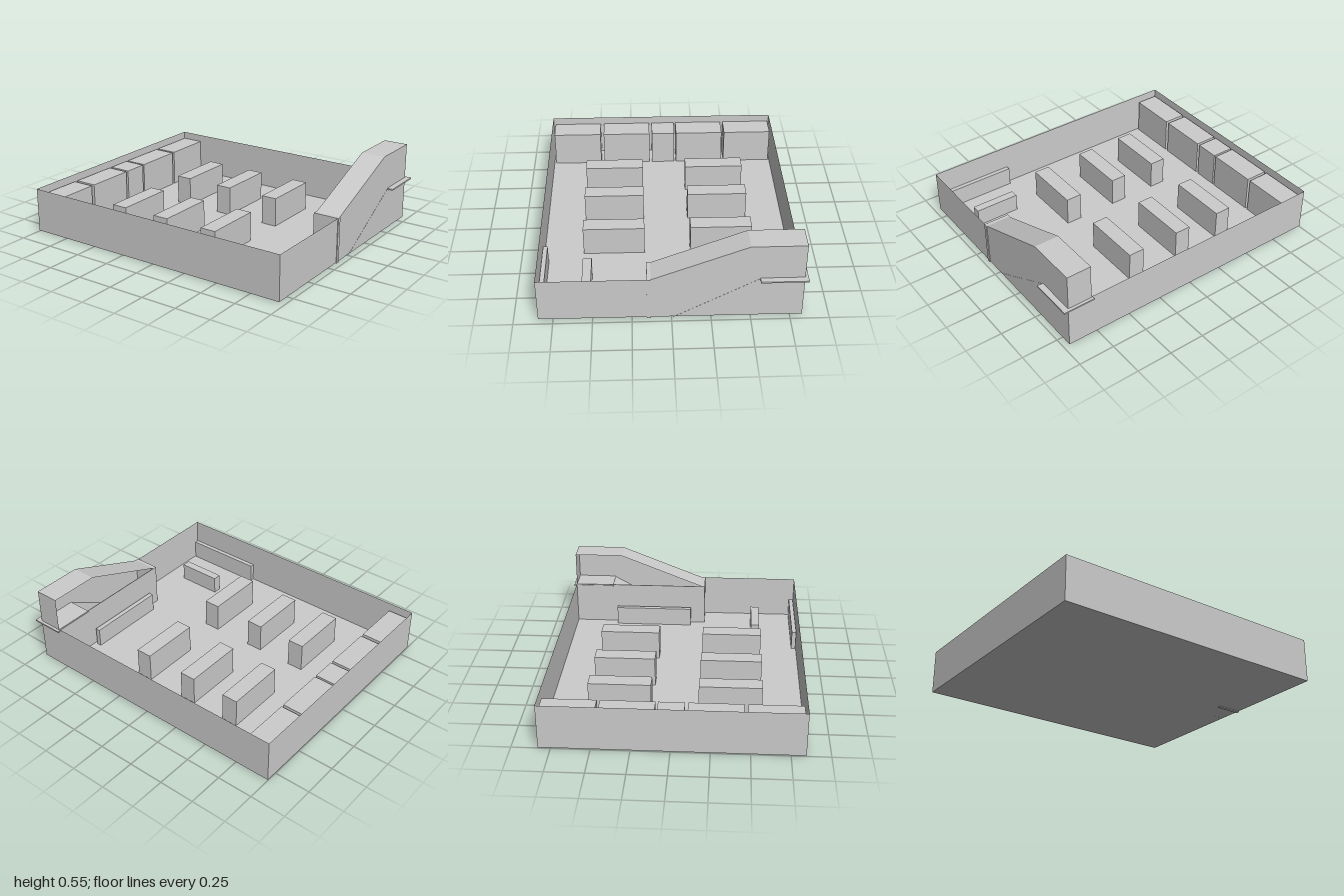
import * as THREE from 'three';

const material = new THREE.MeshStandardMaterial({ color: 0xcccccc, flatShading: true, side: THREE.DoubleSide });

export function createModel() {
  const model = new THREE.Group();

  const add = (name, geometry) => {
    const mesh = new THREE.Mesh(geometry, material);
    mesh.name = name;
    model.add(mesh);
    return mesh;
  };

  // Box given by its extents on each axis
  const box = (name, [x0, x1], [y0, y1], [z0, z1]) => {
    const mesh = add(name, new THREE.BoxGeometry(x1 - x0, y1 - y0, z1 - z0));
    mesh.position.set((x0 + x1) / 2, (y0 + y1) / 2, (z0 + z1) / 2);
  };

  // Thin four-cornered sheet
  const sheet = (name, ...corners) => {
    const geometry = new THREE.BufferGeometry();
    geometry.setAttribute('position', new THREE.Float32BufferAttribute(corners.flat(), 3));
    geometry.setIndex([0, 1, 2, 0, 2, 3]);
    geometry.computeVertexNormals();
    add(name, geometry);
  };

  const L = -1, R = 0.96, B = -0.83, F = 0.845;
  const base = 0.005, wallTop = 0.31, roofTop = 0.55;
  const stairL = 0.79, roofBend = -0.48, roofEnd = 0.13;

  // Room shell: floor and thin walls
  sheet('floor', [L, base, F], [R, base, F], [R, base, B], [L, base, B]);
  sheet('frontWall', [L, base, F], [R, base, F], [R, wallTop, F], [L, wallTop, F]);
  sheet('backWall', [R, base, B], [L, base, B], [L, wallTop, B], [R, wallTop, B]);
  sheet('leftEndWall', [L, base, B], [L, base, F], [L, wallTop, F], [L, wallTop, B]);

  // Side wall rising over the stairs (shape drawn in -z, y)
  const profile = new THREE.Shape([
    [-F, base], [-B, base], [-B, roofTop], [-roofBend, roofTop], [-roofEnd, wallTop], [-F, wallTop],
  ].map(([u, v]) => new THREE.Vector2(u, v)));
  add('stairSideWall', new THREE.ShapeGeometry(profile).rotateY(Math.PI / 2).translate(R, 0, 0));

  // Stair enclosure: roof, back panel, front panel and low inner wall
  sheet('stairRoof', [stairL, roofTop, roofBend], [R, roofTop, roofBend], [R, roofTop, B], [stairL, roofTop, B]);
  sheet('stairRoofSlope', [stairL, wallTop, roofEnd], [R, wallTop, roofEnd],
    [R, roofTop, roofBend], [stairL, roofTop, roofBend]);
  sheet('stairBackPanel', [R, wallTop, B], [stairL, wallTop, B], [stairL, roofTop, B], [R, roofTop, B]);
  box('stairFrontPanel', [0.785, 0.965], [0, wallTop], [0.13, 0.155]);
  box('stairInnerWall', [0.785, 0.79], [base, wallTop], [B, 0.155]);

  // Landing and the ramp leading down from it
  box('landing', [0.78, 1], [0.295, 0.305], [-0.85, -0.55]);
  sheet('stairRamp', [0.785, 0, -0.01], [R + 0.001, 0, -0.01], [R + 0.001, 0.3, -0.55], [0.785, 0.3, -0.55]);

  // Two rows of free-standing shelves
  for (const x of [-0.55, -0.195, 0.193])
    for (const z of [-0.57, 0.16])
      box('islandShelf', [x, x + 0.113], [base, 0.21], [z, z + 0.417]);

  // Cabinets along the end wall
  for (const span of [[-0.82, -0.47], [-0.45, -0.1], [-0.085, 0.085], [0.105, 0.455], [0.48, 0.83]])
    box('wallCabinet', [-0.99, -0.83], [base, 0.26], span);

  // Counters and the low bench by the front wall
  box('stairCounter', [0.732, 0.765], [base, 0.14], [-0.515, 0.05]);
  box('frontCounter', [0.512, 0.825], [base, 0.13], [0.513, 0.572]);
  box('frontBench', [0.39, 0.955], [base, 0.14], [0.812, 0.842]);

  return model;
}
